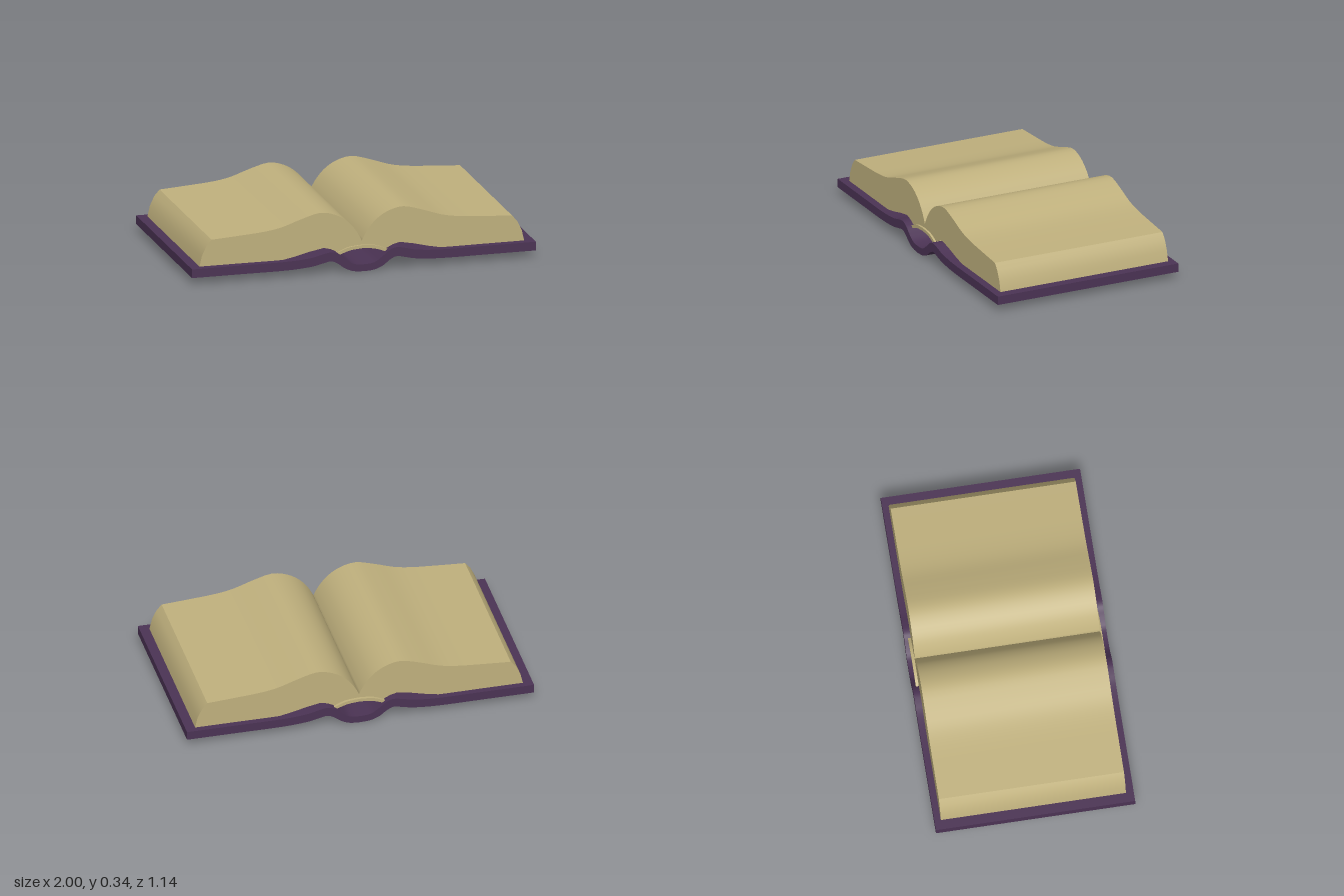
import * as THREE from 'three';
import { toCreasedNormals } from 'three/addons/utils/BufferGeometryUtils.js';

const paper = new THREE.MeshStandardMaterial({ color: 0xbfb07d });
const leather = new THREE.MeshStandardMaterial({ color: 0x4b3354 });

// Extrude a front outline along z, smooth along its curves and sharp at corners
function slab(name, outline, depth, z, material) {
  const shape = new THREE.Shape(outline.map(([x, y]) => new THREE.Vector2(x, y)));
  const geometry = new THREE.ExtrudeGeometry(shape, { depth, bevelEnabled: false });
  geometry.translate(0, 0, z - depth / 2);
  const mesh = new THREE.Mesh(toCreasedNormals(geometry, 0.65), material);
  mesh.name = name;
  return mesh;
}

// Mirror a half profile (centre first, running outward) into a full one from -x to +x
const mirror = (half) => [...half.slice(1).reverse().map(([x, y]) => [-x, y]), ...half];

// Closed outline between a lower and an upper half profile
const between = (lower, upper) => [...mirror(lower), ...mirror(upper).reverse()];

// Smooth a half profile through its points
const smooth = (points, n) =>
  new THREE.SplineCurve(points.map(([x, y]) => new THREE.Vector2(x, y)))
    .getPoints(n).map((p) => [p.x, p.y]);

export function createModel() {
  const book = new THREE.Group();
  book.name = 'openBook';

  // Cover: flat boards, raised hinges and a sagging spine
  const coverTop = [[0, 0.04], [0.06, 0.047], [0.11, 0.08], [0.15, 0.112], [0.19, 0.124],
    [0.24, 0.116], [0.31, 0.1], [0.45, 0.09], [0.7, 0.09], [0.995, 0.09]];
  const coverBottom = [[0, 0], [0.06, 0.005], [0.11, 0.025], [0.15, 0.055], [0.19, 0.072],
    [0.24, 0.063], [0.31, 0.049], [0.45, 0.04], [0.7, 0.04], [0.995, 0.04]];
  book.add(slab('cover', between(smooth(coverBottom, 36), smooth(coverTop, 36)), 1.122, -0.004, leather));

  // Page blocks: curled top, slanted fore edge, underside lifted near the hinge
  const pagesTop = smooth([[0, 0.165], [0.03, 0.22], [0.08, 0.28], [0.15, 0.325], [0.24, 0.345],
    [0.35, 0.317], [0.46, 0.28], [0.56, 0.262], [0.7, 0.251], [0.87, 0.24]], 27);
  const foreEdge = [[0.9, 0.205], [0.926, 0.15], [0.94, 0.089]];
  const underside = [[0.46, 0.089], [0.38, 0.105], [0.3, 0.125], [0.22, 0.14], [0.18, 0.13],
    [0.14, 0.11], [0.08, 0.131], [0, 0.138]];
  const half = [...pagesTop, ...foreEdge, ...underside].reverse();
  book.add(slab('leftPages', half, 1.042, -0.008, paper));
  book.add(slab('rightPages', half.map(([x, y]) => [-x, y]).reverse(), 1.042, -0.008, paper));

  // Arched binding strip under the gutter
  const stripTop = smooth([[0, 0.142], [0.08, 0.134], [0.15, 0.106]], 8);
  const stripBottom = smooth([[0, 0.124], [0.07, 0.117], [0.135, 0.095]], 8);
  book.add(slab('bindingStrip', between(stripBottom, stripTop), 1.07, -0.01, paper));

  // The book lies very slightly turned
  book.rotation.y = -0.0085;
  const model = new THREE.Group();
  model.name = 'model';
  model.add(book);
  return model;
}
